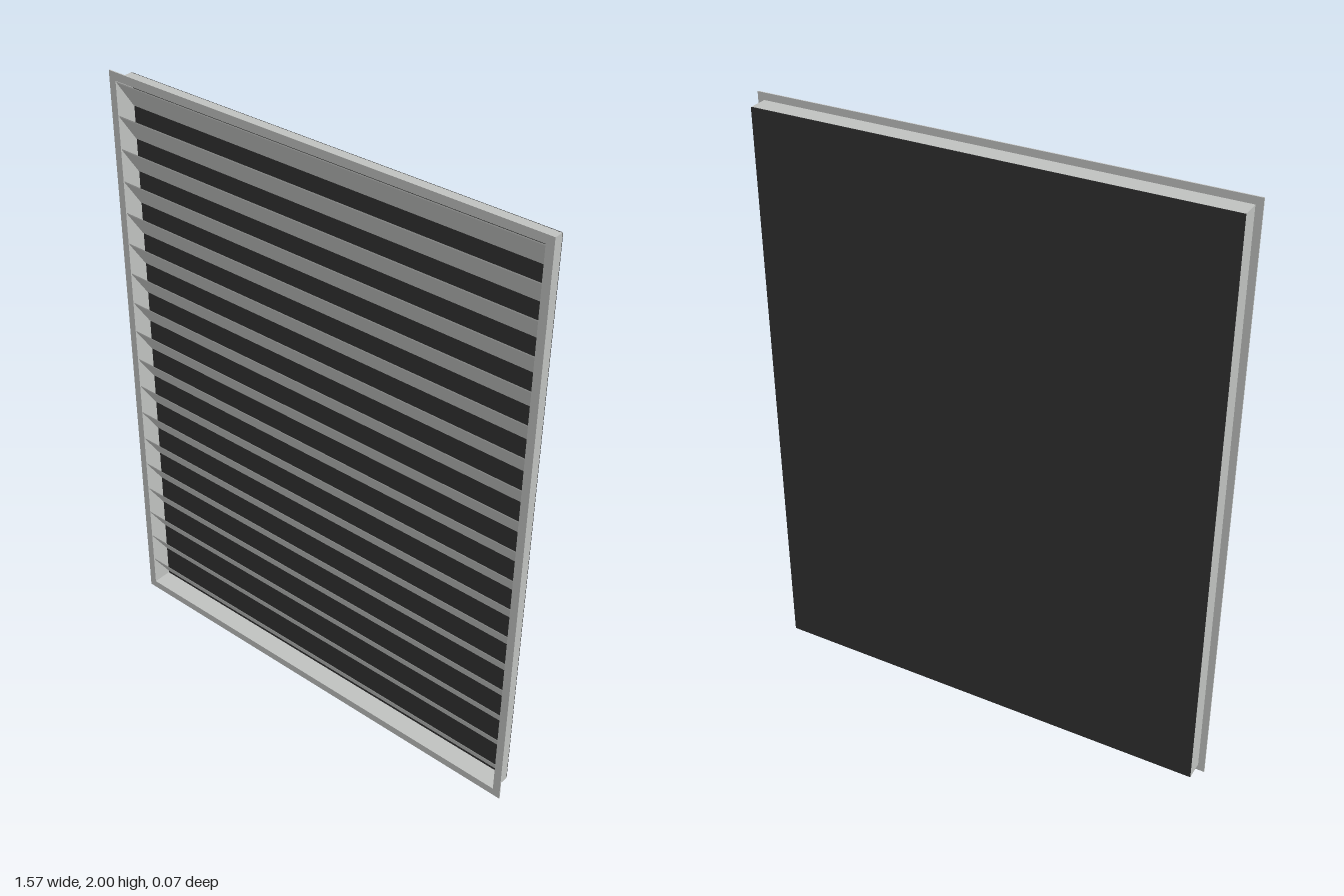
import * as THREE from 'three';

export function createModel() {
  const model = new THREE.Group();
  model.name = 'louvredVent';
  const metal = new THREE.MeshStandardMaterial({ color: 0xbfc1bf });
  metal.name = 'light grey metal';
  const dark = new THREE.MeshStandardMaterial({ color: 0x303030 });
  dark.name = 'dark backing';

  const W = 1.53, H = 1.954, D = 0.07, wall = 0.004;   // recessed casing
  const flangeW = 1.574, flangeH = 2, midY = 1;

  // Rectangular ring extruded along z
  function ring(name, w, h, innerW, innerH, z, depth) {
    const rect = (C, a, b) => new C([
      new THREE.Vector2(-a / 2, -b / 2), new THREE.Vector2(a / 2, -b / 2),
      new THREE.Vector2(a / 2, b / 2), new THREE.Vector2(-a / 2, b / 2),
    ]);
    const shape = rect(THREE.Shape, w, h);
    shape.holes.push(rect(THREE.Path, innerW, innerH));
    const geo = new THREE.ExtrudeGeometry(shape, { depth, bevelEnabled: false });
    const mesh = new THREE.Mesh(geo, metal);
    mesh.name = name;
    mesh.position.set(0, midY, z);
    model.add(mesh);
  }

  // Front flange and the casing behind it
  const innerW = W - 2 * wall, innerH = H - 2 * wall;
  ring('frontFlange', flangeW, flangeH, innerW, innerH, D / 2 - wall, wall);
  ring('casing', W, H, innerW, innerH, -D / 2 + 0.002, D - wall - 0.002);

  // Dark backing sheet closing the rear
  const back = new THREE.Mesh(new THREE.BoxGeometry(W, H, 0.003), dark);
  back.name = 'backPanel';
  back.position.set(0, midY, -D / 2 + 0.0015);
  model.add(back);

  // Sloping slats: top edge at the front, bottom edge at the rear
  const slats = new THREE.Group();
  slats.name = 'slats';
  const count = 18, pitch = 0.108, rise = 0.095, t = 0.004;
  const zFront = D / 2 - 0.004, zBack = -D / 2 + 0.005;
  const profile = new THREE.Shape([
    new THREE.Vector2(-zFront, rise), new THREE.Vector2(-zFront, rise - t),
    new THREE.Vector2(-zBack, 0), new THREE.Vector2(-zBack, t),
  ]);
  const slatGeo = new THREE.ExtrudeGeometry(profile, { depth: innerW, bevelEnabled: false });
  slatGeo.rotateY(Math.PI / 2);
  slatGeo.translate(-innerW / 2, 0, 0);
  for (let i = 0; i < count; i++) {
    const slat = new THREE.Mesh(slatGeo, metal);
    slat.name = 'slat' + (i + 1);
    slat.position.y = 0.038 + i * pitch;
    slats.add(slat);
  }
  model.add(slats);
  return model;
}
